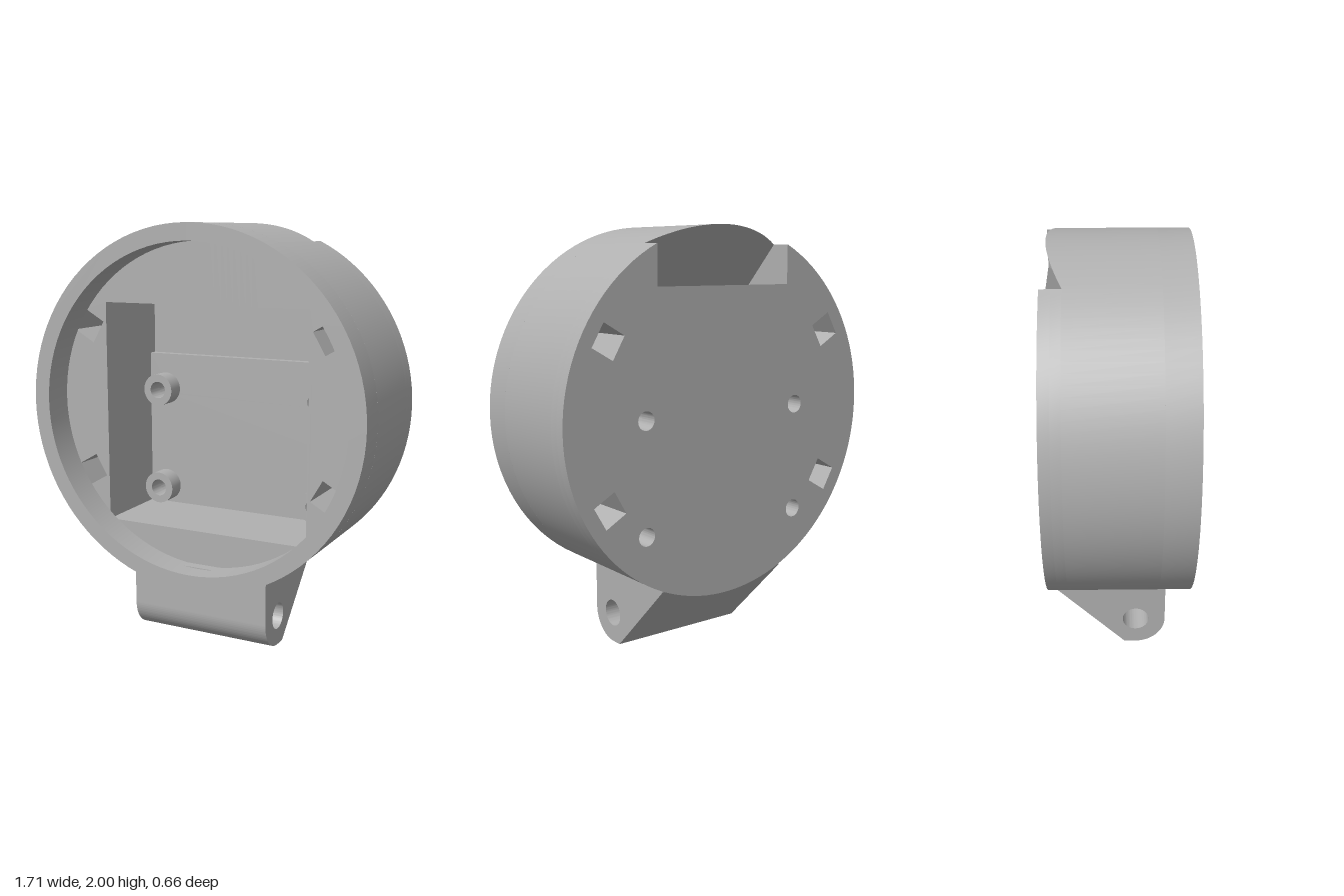
import * as THREE from 'three';
import { toCreasedNormals } from 'three/addons/utils/BufferGeometryUtils.js';

const CY = 1.145, R = 0.855, RECESS_R = 0.775;   // round housing
const Z_FRONT = 0.33, Z_LEDGE = 0.18, Z_FLOOR = -0.235, Z_STEP = -0.28, Z_BACK = -0.33;
const POCKET_W = 0.53, POCKET_TOP = 1.625, POCKET_BOTTOM = 0.54, STEP_Y = 1.335;
const SLOT_W = 0.375;                             // half width of the cable slot
const screwSpots = [];
for (const x of [-0.4375, 0.4375]) for (const y of [0.635, 1.155]) screwSpots.push([x, y]);

export function createModel() {
  const group = new THREE.Group();
  const grey = new THREE.MeshStandardMaterial({ color: 0xb0b0b0 });
  grey.name = 'plain grey';

  const add = (name, geometry) => {
    const mesh = new THREE.Mesh(toCreasedNormals(geometry, 0.5), grey);
    mesh.name = name;
    group.add(mesh);
  };
  const extrude = (shape, z0, z1, curveSegments = 48) =>
    new THREE.ExtrudeGeometry(shape, { depth: z1 - z0, bevelEnabled: false, curveSegments }).translate(0, 0, z0);
  const circle = (x, y, r) => new THREE.Path().absarc(x, y, r, 0, Math.PI * 2, false);

  // Square clip holes, set radially at 30 degrees
  const clipHoles = () => [30, 150, 210, 330].map((deg) => {
    const a = THREE.MathUtils.degToRad(deg), c = Math.cos(a), s = Math.sin(a);
    const corners = [[0.665, -0.06], [0.785, -0.06], [0.785, 0.06], [0.665, 0.06]];
    return new THREE.Path(corners.map(([r, t]) => new THREE.Vector2(r * c - t * s, CY + r * s + t * c)));
  });

  // Disc layer, open at the top for the slot; inner is the right half of the cut-out, bottom first
  const layer = (inner, screws) => {
    const a = Math.acos(SLOT_W / R);
    const shape = new THREE.Shape();
    shape.absarc(0, CY, R, a, Math.PI - a + 0, true);
    [...inner].reverse().forEach(([x, y]) => shape.lineTo(-x, y));
    inner.forEach(([x, y]) => shape.lineTo(x, y));
    shape.holes.push(...clipHoles());
    if (screws) screwSpots.forEach(([x, y]) => shape.holes.push(circle(x, y, 0.043)));
    return shape;
  };
  const pocket = (bottom) => [[POCKET_W, bottom], [POCKET_W, POCKET_TOP], [SLOT_W, POCKET_TOP]];

  // Housing, from front to back
  const ring = new THREE.Shape().absarc(0, CY, R, 0, Math.PI * 2, false);
  ring.holes.push(circle(0, CY, RECESS_R));
  add('frontRim', extrude(ring, Z_LEDGE, Z_FRONT));
  add('pocketBody', extrude(layer(pocket(POCKET_BOTTOM), false), Z_FLOOR, Z_LEDGE));
  add('pocketFloor', extrude(layer(pocket(STEP_Y), true), Z_STEP, Z_FLOOR));
  add('backPlate', extrude(layer([[SLOT_W, POCKET_TOP]], true), Z_BACK, Z_STEP));

  // Wall in front of the slanted slot, following the round outside
  const slotZ = (y) => -0.24 - (y - 1.92) * 0.94;
  const section = (x) => {
    const top = CY + Math.sqrt(R * R - x * x);
    return [[x, POCKET_TOP, slotZ(POCKET_TOP)], [x, POCKET_TOP, Z_LEDGE], [x, top, Z_LEDGE], [x, top, slotZ(top)]];
  };
  const positions = [], steps = 24;
  for (let i = 0; i < steps; i++) {
    const a = section(SLOT_W * (2 * i / steps - 1));
    const b = section(SLOT_W * (2 * (i + 1) / steps - 1));
    for (let j = 0; j < 4; j++) {
      const k = (j + 1) % 4;
      positions.push(...a[j], ...b[j], ...a[k], ...b[j], ...b[k], ...a[k]);
    }
  }
  const bridge = new THREE.BufferGeometry();
  bridge.setAttribute('position', new THREE.Float32BufferAttribute(positions, 3));
  add('slotBridge', bridge);

  // Side profiles are drawn as (-z, y) and extruded across x
  const across = (shape, halfWidth) => extrude(shape, -halfWidth, halfWidth).rotateY(Math.PI / 2);

  // Sloping lower lip of the slot
  const lip = new THREE.Shape();
  lip.moveTo(0.225, POCKET_TOP);
  lip.lineTo(-Z_BACK, POCKET_TOP);
  lip.lineTo(-Z_BACK, 1.73);
  add('slotLip', across(lip, SLOT_W));

  // Screw standoffs
  for (const [x, y] of screwSpots) {
    const boss = new THREE.Shape().absarc(x, y, 0.081, 0, Math.PI * 2, false);
    boss.holes.push(circle(x, y, 0.043));
    add('standoff', extrude(boss, Z_FLOOR, -0.145, 20));
  }

  // Mounting foot with a cross hole
  const foot = new THREE.Shape();
  foot.moveTo(-0.23, 0.375);
  foot.lineTo(-0.23, 0.145);
  foot.absarc(-0.085, 0.145, 0.145, Math.PI, Math.PI * 1.5, false);
  foot.lineTo(-0.03, 0);
  foot.lineTo(0.33, 0.362);
  foot.lineTo(0.33, 0.375);
  foot.holes.push(circle(-0.085, 0.145, 0.064));
  add('mountingFoot', across(foot, 0.354));

  return group;
}
